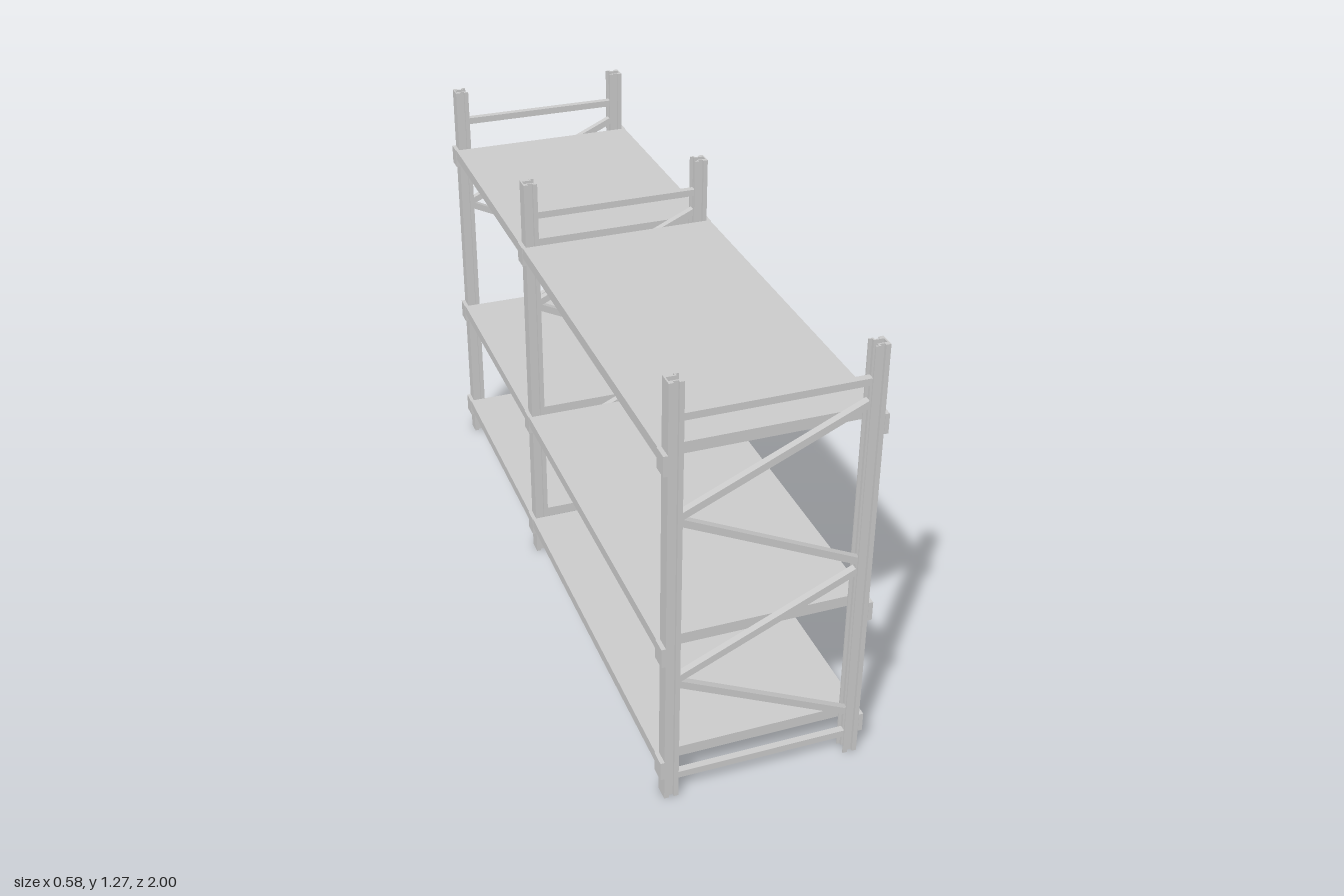
import * as THREE from 'three';

const material = new THREE.MeshStandardMaterial({ color: 0xcccccc, flatShading: true });
const frameZ = [0.977, -0.2, -0.977];
const shelfTops = [0.127, 0.505, 1.077];
const POST_H = 1.27, POST_OUT = 0.28, POST_IN = 0.24, POST_HALF = 0.0215;

function box(name, w, h, d, x, y, z) {
  const mesh = new THREE.Mesh(new THREE.BoxGeometry(w, h, d), material);
  mesh.name = name;
  mesh.position.set(x, y, z);
  return mesh;
}

// Open channel: flat outer web, side walls stepped in to a groove, open inner side
function postGeometry() {
  const t = 0.004;
  const outer = [[POST_OUT, POST_HALF], [0.267, POST_HALF], [0.267, 0.013],
    [0.253, 0.013], [0.253, POST_HALF], [POST_IN, POST_HALF]];
  const inner = [[POST_IN, POST_HALF - t], [0.253 + t, POST_HALF - t], [0.253 + t, 0.013 - t],
    [0.267 - t + 0.008, 0.013 - t], [POST_OUT - t, 0.013 - t]];
  // the inner wall of the lip follows the groove wall
  inner[1][0] = 0.249;
  inner[2][0] = 0.249;
  const half = [...outer, ...inner];
  const mirrored = half.map(([x, v]) => [x, -v]).reverse();
  const shape = new THREE.Shape([...half, ...mirrored].map(([x, v]) => new THREE.Vector2(x, v)));
  const geometry = new THREE.ExtrudeGeometry(shape, { depth: POST_H, bevelEnabled: false });
  return geometry.rotateX(-Math.PI / 2);
}

// Square bar between two points in the plane of an end frame
function brace(name, x1, y1, x2, y2) {
  const length = Math.hypot(x2 - x1, y2 - y1);
  const mesh = box(name, length, 0.02, 0.02, (x1 + x2) / 2, (y1 + y2) / 2, 0);
  mesh.rotation.z = Math.atan2(y2 - y1, x2 - x1);
  return mesh;
}

function uprightFrame(post) {
  const frame = new THREE.Group();
  frame.name = 'uprightFrame';
  for (const side of [1, -1]) {
    const mesh = new THREE.Mesh(post, material);
    mesh.name = side > 0 ? 'leftPost' : 'rightPost';
    if (side < 0) mesh.rotation.y = Math.PI;
    frame.add(mesh);
    // Beam connectors hooked on the outer faces
    for (const top of shelfTops) {
      frame.add(box('beamConnector', 0.012, 0.057, 0.046, side * 0.286, top - 0.0285, 0));
    }
  }
  const e = 0.245;
  for (const y of [0.06, 1.167]) frame.add(brace('horizontalBrace', -e, y, e, y));
  // Zigzag bracing in two repeats
  for (const y of [0, 0.5]) {
    frame.add(brace('diagonalBrace', e, y + 0.138, -e, y + 0.372));
    frame.add(brace('diagonalBrace', -e, y + 0.383, e, y + 0.606));
  }
  return frame;
}

export function createModel() {
  const model = new THREE.Group();
  model.name = 'storageRack';
  const post = postGeometry();
  for (const z of frameZ) {
    const frame = uprightFrame(post);
    frame.position.z = z;
    model.add(frame);
  }
  // Shelves fill each bay between neighbouring frames
  for (let bay = 0; bay < 2; bay++) {
    const front = frameZ[bay] - POST_HALF - 0.001, back = frameZ[bay + 1] + POST_HALF + 0.001;
    for (const top of shelfTops) {
      model.add(box('shelf', 0.58, 0.032, front - back, 0, top - 0.016, (front + back) / 2));
    }
  }
  return model;
}
